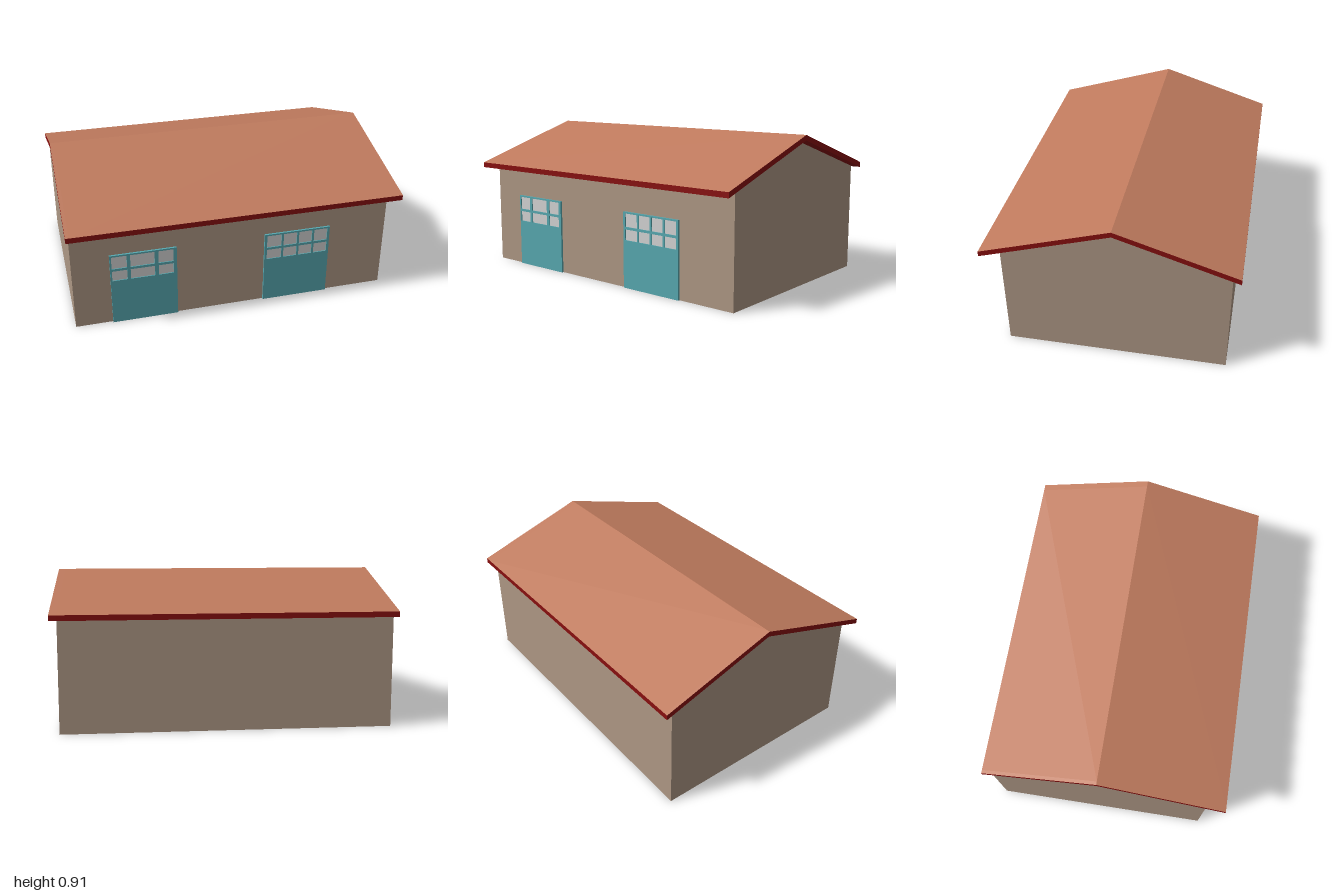
import * as THREE from 'three';

const material = (name, color) => {
  const m = new THREE.MeshStandardMaterial({ color });
  m.name = name;
  return m;
};

function addMesh(parent, name, geometry, mat) {
  const mesh = new THREE.Mesh(geometry, mat);
  mesh.name = name;
  parent.add(mesh);
  return mesh;
}

// Gabled walls: the end profile is drawn in (-z, y) and extruded along x
function wallGeometry() {
  const outline = [[-0.62, 0], [0.685, 0], [0.685, 0.667], [0.03, 0.867], [-0.62, 0.667]];
  const shape = new THREE.Shape(outline.map(([x, y]) => new THREE.Vector2(x, y)));
  return new THREE.ExtrudeGeometry(shape, { depth: 1.94, bevelEnabled: false })
    .rotateY(Math.PI / 2)
    .translate(-0.98, 0, 0);
}

// Roof: cross-sections along x; the underside dips slightly where it meets the walls
function roofGeometry() {
  const section = (x, ridgeBottom) => [
    [0.733, 0.67], [-0.03, 0.91], [-0.733, 0.69],
    [-0.733, 0.658], [-0.03, ridgeBottom], [0.733, 0.638],
  ].map(([z, y]) => [x, y, z]);
  const rings = [section(-1, 0.878), section(-0.98, 0.867), section(0.96, 0.867), section(1, 0.878)];
  const tiles = [], trim = [];
  const quad = (out, a, b, c, d) => out.push(...a, ...b, ...c, ...a, ...c, ...d);

  for (let s = 0; s < 3; s++) {
    const A = rings[s], B = rings[s + 1];
    for (let i = 0; i < 6; i++) {
      const j = (i + 1) % 6;
      quad(i < 2 ? tiles : trim, A[i], B[i], B[j], A[j]);
    }
  }
  // End faces
  for (const [a, b, c, d] of [[0, 1, 4, 5], [1, 2, 3, 4]]) {
    const L = rings[0], R = rings[3];
    quad(trim, L[a], L[b], L[c], L[d]);
    quad(trim, R[d], R[c], R[b], R[a]);
  }

  const geometry = new THREE.BufferGeometry();
  geometry.setAttribute('position', new THREE.Float32BufferAttribute([...tiles, ...trim], 3));
  geometry.addGroup(0, tiles.length / 3, 0);
  geometry.addGroup(tiles.length / 3, trim.length / 3, 1);
  geometry.computeVertexNormals();
  return geometry;
}

// Door panel with cut-out lights and thin panes set behind them
function makeDoor(name, x0, x1, columns, frameMat, paneMat) {
  const door = new THREE.Group();
  door.name = name;
  const rows = [[0.29, 0.355], [0.37, 0.45]];
  const rect = (Type, a, b, c, d) => new Type([[a, c], [b, c], [b, d], [a, d]]
    .map(([x, y]) => new THREE.Vector2(x, y)));
  const shape = rect(THREE.Shape, x0, x1, 0, 0.46);
  for (const [a, b] of columns) {
    for (const [c, d] of rows) {
      shape.holes.push(rect(THREE.Path, a, b, c, d));
      const pane = addMesh(door, 'windowPane', new THREE.BoxGeometry(b - a, d - c, 0.006), paneMat);
      pane.position.set((a + b) / 2, (c + d) / 2, 0.623);
    }
  }
  const panel = new THREE.ExtrudeGeometry(shape, { depth: 0.013, bevelEnabled: false });
  addMesh(door, 'doorPanel', panel, frameMat).position.z = 0.619;
  return door;
}

export function createModel() {
  const wallMat = material('wall beige', 0xad9784);
  const tileMat = material('roof terracotta', 0xc07b5e);
  const trimMat = material('trim dark red', 0x880f0f);
  const doorMat = material('door teal', 0x57a8b0);
  const paneMat = material('pane light grey', 0xd3d3d3);

  const building = new THREE.Group();
  building.name = 'building';
  addMesh(building, 'walls', wallGeometry(), wallMat);
  addMesh(building, 'roof', roofGeometry(), [tileMat, trimMat]);

  building.add(
    makeDoor('rightDoor', -0.76, -0.365,
      [[-0.75, -0.66], [-0.64, -0.497], [-0.475, -0.385]], doorMat, paneMat),
    makeDoor('leftDoor', 0.175, 0.59,
      [[0.19, 0.282], [0.295, 0.38], [0.393, 0.477], [0.49, 0.575]], doorMat, paneMat),
  );
  return building;
}
